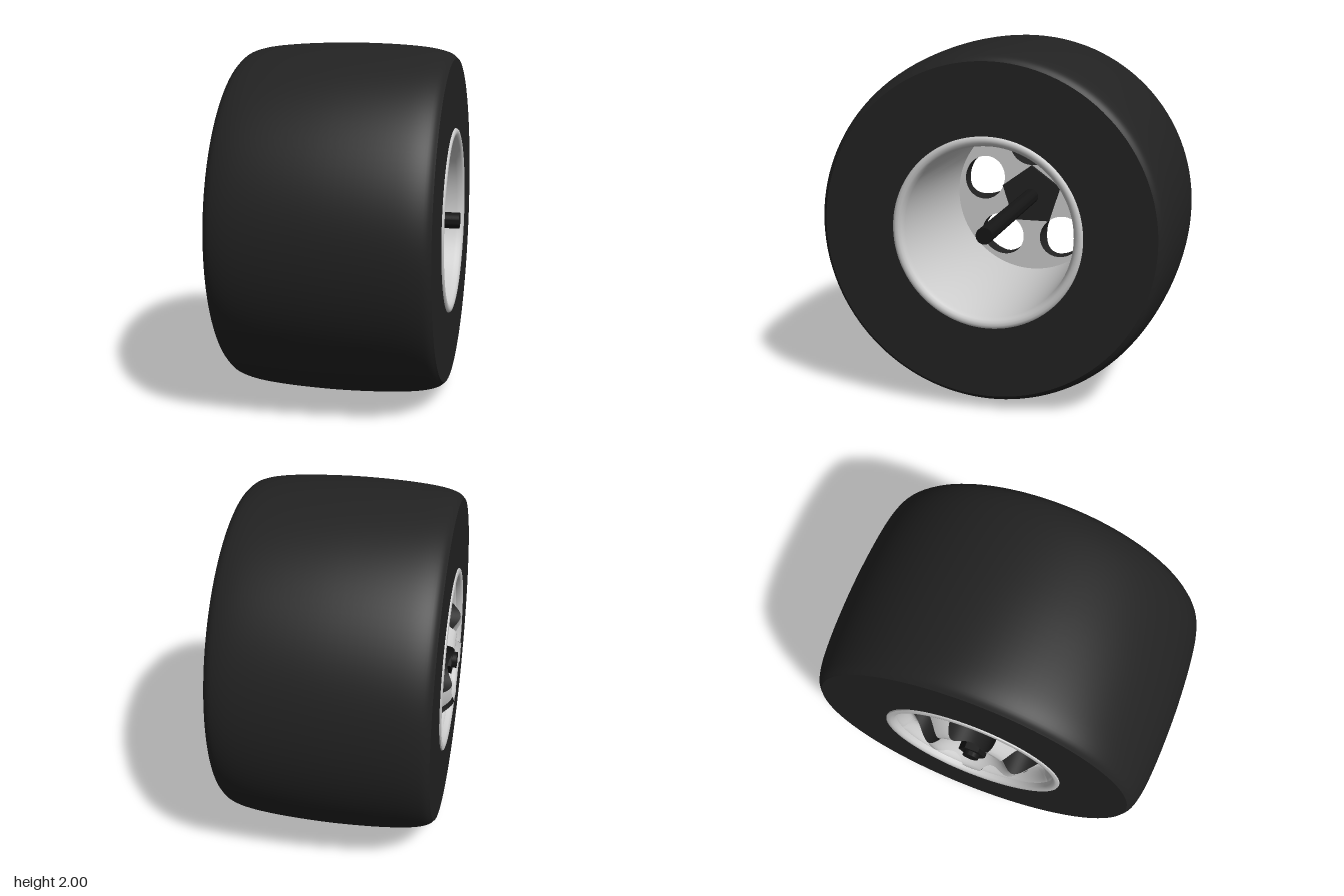
import * as THREE from 'three';
import { mergeVertices, toCreasedNormals } from 'three/addons/utils/BufferGeometryUtils.js';

const GREY = 0xcccccc, RUBBER = 0x222222, STEEL = 0x161616;
const HOLES = 5, DISC_R = 0.478, BACK_X = -0.42, HOLE_R = 0.315;

function part(name, geometry, color) {
  const mesh = new THREE.Mesh(geometry, new THREE.MeshStandardMaterial({ color }));
  mesh.name = name;
  return mesh;
}

// Revolve [radius, x] points around the x axis
function revolve(points, segments = 96, crease = 0.5) {
  const g = new THREE.LatheGeometry(points.map(([r, x]) => new THREE.Vector2(r, x)), segments);
  return toCreasedNormals(g.rotateZ(-Math.PI / 2), crease);
}

// Cylinder or prism along x between two positions
function rod(radius, x0, x1, sides) {
  const g = new THREE.CylinderGeometry(radius, radius, x1 - x0, sides);
  g.rotateZ(-Math.PI / 2).translate((x0 + x1) / 2, 0, 0);
  return toCreasedNormals(g, 0.6);
}

// Depth of the dished spoke face at a given radius
const DISH = [[0, -0.52], [0.1, -0.53], [0.25, -0.63], [0.41, -0.505], [0.48, -0.57]];
function dish(r) {
  let i = 0;
  while (i < DISH.length - 2 && r > DISH[i + 1][0]) i++;
  const [r0, x0] = DISH[i], [r1, x1] = DISH[i + 1];
  return THREE.MathUtils.lerp(x0, x1, THREE.MathUtils.smoothstep(r, r0, r1));
}

// Outline of one wedge of the disc: up one side, along the rim, down the other
function wedgeOutline() {
  const half = Math.PI / HOLES, n = 20, pts = [];
  const polar = (r, a) => [r * Math.sin(a), r * Math.cos(a)];
  for (let i = 0; i < n; i++) pts.push(polar(DISC_R * i / n, -half));
  for (let i = 0; i < n; i++) pts.push(polar(DISC_R, -half + 2 * half * i / n));
  for (let i = 0; i <= n; i++) pts.push(polar(DISC_R * (1 - i / n), half));
  return pts;
}

// Point of the rounded hole lying towards an outline point
function holePoint([z, y]) {
  const a = Math.atan2(z, y - HOLE_R);
  const r = 0.131 - 0.006 * Math.cos(2 * a);
  return [r * Math.sin(a), HOLE_R + r * Math.cos(a)];
}

// Repeat a grid of points for every wedge; at(i, t) gives [x, y, z]
function wedges(count, steps, at) {
  const pos = [], index = [];
  for (let k = 0; k < HOLES; k++) {
    const c = Math.cos(k * 2 * Math.PI / HOLES), s = Math.sin(k * 2 * Math.PI / HOLES);
    const base = pos.length / 3;
    for (let i = 0; i < count; i++) {
      for (let j = 0; j <= steps; j++) {
        const [x, y, z] = at(i, j / steps);
        pos.push(x, y * c - z * s, y * s + z * c);
      }
    }
    for (let i = 0; i < count - 1; i++) {
      for (let j = 0; j < steps; j++) {
        const a = base + i * (steps + 1) + j, b = a + steps + 1;
        index.push(a, b, b + 1, a, b + 1, a + 1);
      }
    }
  }
  const g = new THREE.BufferGeometry();
  g.setAttribute('position', new THREE.Float32BufferAttribute(pos, 3));
  g.setIndex(index);
  const merged = mergeVertices(g, 1e-4);
  merged.computeVertexNormals();
  return merged;
}

export function createModel() {
  const model = new THREE.Group();
  model.name = 'wheel';
  const wheel = new THREE.Group();
  wheel.name = 'wheelAssembly';
  wheel.position.y = 1;
  model.add(wheel);

  // Wide tyre with a gently crowned tread and flat sidewalls
  const crown = new THREE.SplineCurve([
    [0.918, -0.595], [0.95, -0.555], [0.976, -0.45], [0.993, -0.26], [1, -0.005],
    [0.993, 0.25], [0.976, 0.44], [0.95, 0.545], [0.918, 0.587],
  ].map(([r, x]) => new THREE.Vector2(r, x))).getPoints(40).map(p => [p.x, p.y]);
  wheel.add(part('tyre', revolve([[0.51, -0.595], ...crown, [0.51, 0.587]], 128), RUBBER));

  // Open rim barrel with a rounded lip at each end
  wheel.add(part('rim', revolve([
    [0.528, -0.585], [0.528, 0.585], [0.522, 0.595], [0.508, 0.599], [0.492, 0.596],
    [0.48, 0.585], [0.475, 0.565], [0.47, 0.555], [0.47, -0.555], [0.475, -0.57],
    [0.48, -0.592], [0.492, -0.603], [0.508, -0.606], [0.522, -0.602], [0.528, -0.585],
  ], 96, 0.9), GREY));

  // Dished disc with five holes, its flat back and the dark hole walls
  const outline = wedgeOutline(), hole = outline.map(holePoint), n = outline.length;
  const between = (i, t) => [0, 1].map(k => THREE.MathUtils.lerp(hole[i][k], outline[i][k], t));
  wheel.add(part('spokeFace', wedges(n, 12, (i, t) => {
    const [z, y] = between(i, t);
    return [dish(Math.hypot(z, y)), y, z];
  }), GREY));
  wheel.add(part('spokeBack', wedges(n, 1, (i, t) => {
    const [z, y] = between(i, 1 - t);
    return [BACK_X, y, z];
  }), GREY));
  wheel.add(part('holeWalls', wedges(n, 1, (i, t) => {
    const [z, y] = hole[i];
    return [t ? dish(Math.hypot(z, y)) : BACK_X, y, z];
  }), RUBBER));

  // Pentagonal hub plate behind the disc, with one corner pointing up
  const pentagon = new THREE.Shape();
  for (let i = 0; i < 5; i++) {
    const a = i * 2 * Math.PI / 5;
    pentagon[i ? 'lineTo' : 'moveTo'](0.19 * Math.sin(a), 0.19 * Math.cos(a));
  }
  const plate = new THREE.ExtrudeGeometry(pentagon, { depth: 0.03, bevelEnabled: false });
  plate.rotateY(Math.PI / 2).translate(BACK_X - 0.005, 0, 0);
  wheel.add(part('hubPlate', plate, RUBBER));

  // Axle and its hexagonal nut
  wheel.add(part('axle', rod(0.046, -0.63, 0.625, 32), STEEL));
  wheel.add(part('axleNut', rod(0.08, -0.545, -0.6 + 0.1, 6).translate(-0.06, 0, 0), STEEL));

  return model;
}
